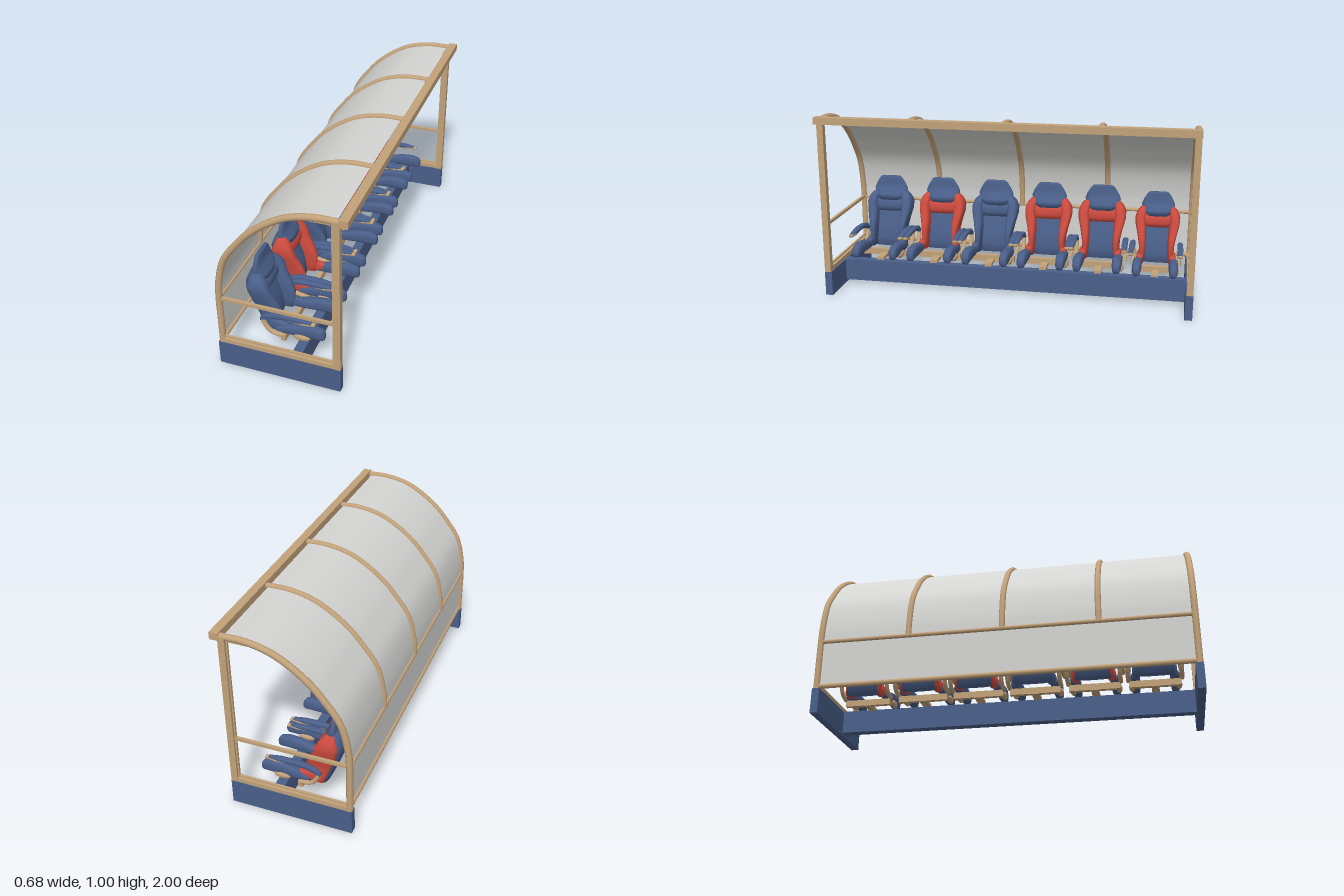
import * as THREE from 'three';

const mat = (name, color, side = THREE.FrontSide) => {
  const m = new THREE.MeshStandardMaterial({ color, side });
  m.name = name;
  return m;
};
const tan = mat('tanFrame', 0xc2a27a);
const blue = mat('blue', 0x4a5f8a);
const red = mat('red', 0xcb4a3e);
const grey = mat('greyPanel', 0xd4d4d2, THREE.DoubleSide);

function add(group, name, geometry, material) {
  const mesh = new THREE.Mesh(geometry, material);
  mesh.name = name;
  group.add(mesh);
  return mesh;
}

// Box given by its minimum and maximum on each axis
function box(group, name, x0, x1, y0, y1, z0, z1, material) {
  const g = new THREE.BoxGeometry(x1 - x0, y1 - y0, z1 - z0);
  g.translate((x0 + x1) / 2, (y0 + y1) / 2, (z0 + z1) / 2);
  return add(group, name, g, material);
}

function tube(group, name, points, z, r, material, segments = 28) {
  const curve = new THREE.CatmullRomCurve3(points.map(([x, y]) => new THREE.Vector3(x, y, z)));
  return add(group, name, new THREE.TubeGeometry(curve, segments, r, 10), material);
}

function barZ(group, name, x, y, r, material) {
  const g = new THREE.CylinderGeometry(r, r, 1.96, 10).rotateX(Math.PI / 2).translate(x, y, 0);
  return add(group, name, g, material);
}

// Rounded-rectangle loft; section = [t, a0, a1, z0, z1], where a is x (axis y) or y (axis x)
function loft(sections, axis) {
  const N = 16, pos = [], idx = [];
  const soft = v => Math.sign(v) * Math.pow(Math.abs(v), 0.65);
  const put = (t, a, z) => (axis === 'y' ? pos.push(a, t, z) : pos.push(t, a, z));
  const tri = (a, b, c) => (axis === 'y' ? idx.push(a, b, c) : idx.push(a, c, b));
  for (const [t, a0, a1, z0, z1] of sections) {
    for (let i = 0; i < N; i++) {
      const u = (i / N) * Math.PI * 2;
      put(t, (a0 + a1) / 2 + soft(Math.cos(u)) * (a1 - a0) / 2,
        (z0 + z1) / 2 + soft(Math.sin(u)) * (z1 - z0) / 2);
    }
  }
  const last = sections.length - 1;
  for (let s = 0; s < last; s++) {
    for (let i = 0; i < N; i++) {
      const a = s * N + i, b = s * N + (i + 1) % N;
      tri(a, a + N, b);
      tri(b, a + N, b + N);
    }
  }
  for (const s of [0, last]) {
    const [t, a0, a1, z0, z1] = sections[s], c = pos.length / 3;
    put(t, (a0 + a1) / 2, (z0 + z1) / 2);
    for (let i = 0; i < N; i++) {
      const a = s * N + i, b = s * N + (i + 1) % N;
      if (s === 0) tri(c, a, b); else tri(c, b, a);
    }
  }
  const g = new THREE.BufferGeometry();
  g.setAttribute('position', new THREE.Float32BufferAttribute(pos, 3));
  g.setIndex(idx);
  g.computeVertexNormals();
  return g;
}

// Mirrors the z range of loft sections to the chosen side
const onSide = (sections, s) => sections.map(([t, a0, a1, z0, z1]) =>
  s > 0 ? [t, a0, a1, z0, z1] : [t, a0, a1, -z1, -z0]);

function makeSeat(accent) {
  const seat = new THREE.Group();
  seat.name = 'seat';
  add(seat, 'backrest', loft([
    [0.17, -0.165, -0.11, -0.095, 0.095], [0.22, -0.185, -0.11, -0.095, 0.095],
    [0.29, -0.21, -0.12, -0.1, 0.1], [0.37, -0.242, -0.15, -0.108, 0.108],
    [0.43, -0.25, -0.165, -0.115, 0.115], [0.47, -0.235, -0.17, -0.1, 0.1],
    [0.5, -0.215, -0.175, -0.085, 0.085]], 'y'), blue);
  add(seat, 'headrest', loft([
    [0.44, -0.235, -0.14, -0.075, 0.075], [0.47, -0.228, -0.145, -0.09, 0.09],
    [0.5, -0.213, -0.17, -0.1, 0.1], [0.53, -0.208, -0.178, -0.088, 0.088],
    [0.565, -0.206, -0.178, -0.066, 0.066], [0.575, -0.2, -0.183, -0.055, 0.055]], 'y'), blue);
  add(seat, 'chestBand', loft([
    [0.375, -0.2, -0.14, -0.085, 0.085], [0.4, -0.2, -0.132, -0.095, 0.095],
    [0.435, -0.2, -0.138, -0.1, 0.1], [0.45, -0.2, -0.155, -0.09, 0.09]], 'y'), accent);

  for (const s of [1, -1]) {
    add(seat, 'backBolster', loft(onSide([
      [0.175, -0.15, -0.07, 0.075, 0.108], [0.22, -0.165, -0.06, 0.07, 0.104],
      [0.28, -0.19, -0.056, 0.066, 0.106], [0.33, -0.21, -0.076, 0.066, 0.116],
      [0.39, -0.225, -0.11, 0.07, 0.132], [0.43, -0.23, -0.12, 0.074, 0.134],
      [0.465, -0.215, -0.14, 0.07, 0.12], [0.49, -0.205, -0.17, 0.07, 0.095]], s), 'y'), accent);
    add(seat, 'bolsterFoot', loft(onSide([
      [-0.11, 0.18, 0.24, 0.075, 0.115], [-0.05, 0.18, 0.232, 0.078, 0.118],
      [0, 0.19, 0.222, 0.085, 0.112]], s), 'x'), accent);
    // Open seat pan with a cushion on each side
    add(seat, 'thighCushion', loft(onSide([
      [-0.08, 0.175, 0.205, 0.085, 0.125], [-0.02, 0.175, 0.228, 0.08, 0.13],
      [0.06, 0.18, 0.248, 0.078, 0.132], [0.12, 0.18, 0.252, 0.08, 0.132],
      [0.16, 0.178, 0.243, 0.084, 0.128], [0.173, 0.185, 0.225, 0.09, 0.122]], s), 'x'), blue);
    add(seat, 'armrest', loft(onSide([
      [-0.15, 0.25, 0.272, 0.128, 0.15], [-0.12, 0.263, 0.298, 0.126, 0.153],
      [-0.07, 0.284, 0.312, 0.125, 0.156], [0, 0.29, 0.316, 0.125, 0.158],
      [0.06, 0.29, 0.314, 0.125, 0.158], [0.12, 0.294, 0.305, 0.13, 0.154]], s), 'x'), blue);
    add(seat, 'armrestTip', loft(onSide([
      [0.03, 0.286, 0.296, 0.13, 0.154], [0.08, 0.284, 0.3, 0.126, 0.158],
      [0.137, 0.288, 0.302, 0.13, 0.154]], s), 'x'), tan);
    tube(seat, 'armrestBracket', [[-0.145, 0.265], [-0.13, 0.23], [-0.1, 0.192], [-0.04, 0.179]],
      s * 0.138, 0.012, tan, 12);
    const hinge = add(seat, 'hinge', new THREE.SphereGeometry(1, 14, 10), tan);
    hinge.scale.set(0.045, 0.02, 0.016);
    hinge.position.set(0.06, 0.182, s * 0.124);
  }
  box(seat, 'seatMount', -0.05, -0.025, 0.14, 0.175, -0.135, 0.135, tan);
  box(seat, 'seatMountArm', -0.05, 0.06, 0.138, 0.155, -0.02, 0.02, tan);
  return seat;
}

export function createModel() {
  const model = new THREE.Group();
  model.name = 'shelter';
  const bend = [[-0.324, 0.4], [-0.317, 0.5], [-0.28, 0.644], [-0.201, 0.757],
    [-0.143, 0.823], [-0.047, 0.9], [0.055, 0.955], [0.18, 0.983], [0.295, 0.984]];

  // Base: end plinths and the beam carrying the seats
  for (const s of [1, -1]) {
    const [z0, z1] = s > 0 ? [0.96, 1] : [-1, -0.96];
    box(model, 'endPlinth', -0.34, 0.3, 0, 0.135, z0, z1, blue);
  }
  box(model, 'seatBeam', 0.035, 0.085, 0.015, 0.138, -0.96, 0.96, blue);

  // End frames
  for (const s of [1, -1]) {
    const frame = new THREE.Group();
    frame.name = 'endFrame';
    model.add(frame);
    const z = s * 0.982;
    tube(frame, 'endArch', [[-0.324, 0.135], [-0.324, 0.27], ...bend], z, 0.017, tan, 40);
    box(frame, 'frontPost', 0.266, 0.3, 0.135, 0.985, z - 0.017, z + 0.017, tan);
    box(frame, 'bottomRail', -0.324, 0.27, 0.135, 0.158, z - 0.015, z + 0.015, tan);
    box(frame, 'innerBottom', -0.308, 0.262, 0.164, 0.172, z - 0.006, z + 0.006, tan);
    box(frame, 'innerPost', 0.258, 0.265, 0.16, 0.965, z - 0.006, z + 0.006, tan);
    box(frame, 'innerTop', 0.13, 0.266, 0.962, 0.972, z - 0.006, z + 0.006, tan);
    box(frame, 'middleRail', -0.315, 0.27, 0.396, 0.412, z - 0.008, z + 0.008, tan);
  }

  // Intermediate arches and long rails
  for (const z of [-0.5, 0, 0.5]) tube(model, 'middleArch', bend, z, 0.016, tan, 32);
  box(model, 'topBeam', 0.295, 0.34, 0.967, 1.005, -1, 1, tan);
  barZ(model, 'backRail', -0.324, 0.404, 0.011, tan);
  barZ(model, 'bottomBackRail', -0.322, 0.15, 0.013, tan);

  // Curved roof skin and flat lower back panel
  const profile = new THREE.CatmullRomCurve3(bend.map(([x, y]) => new THREE.Vector3(x, y, 0)));
  const roof = new THREE.PlaneGeometry(1, 1.96, 40, 1);
  const p = roof.attributes.position;
  for (let i = 0; i < p.count; i++) {
    const c = profile.getPoint((p.getX(i) + 0.5) * 0.985);
    p.setXYZ(i, c.x, c.y, -p.getY(i));
  }
  roof.computeVertexNormals();
  add(model, 'roofSkin', roof, grey);
  const panel = new THREE.PlaneGeometry(1.96, 0.26).rotateY(-Math.PI / 2).translate(-0.322, 0.275, 0);
  add(model, 'backPanel', panel, grey);

  // Row of seats
  [[0.76, blue], [0.445, red], [0.13, blue], [-0.18, red], [-0.485, red], [-0.795, red]]
    .forEach(([z, accent], i) => {
      const seat = makeSeat(accent);
      seat.position.z = z;
      if (i === 5) seat.scale.set(1, 0.96, 0.92);
      model.add(seat);
    });
  return model;
}
